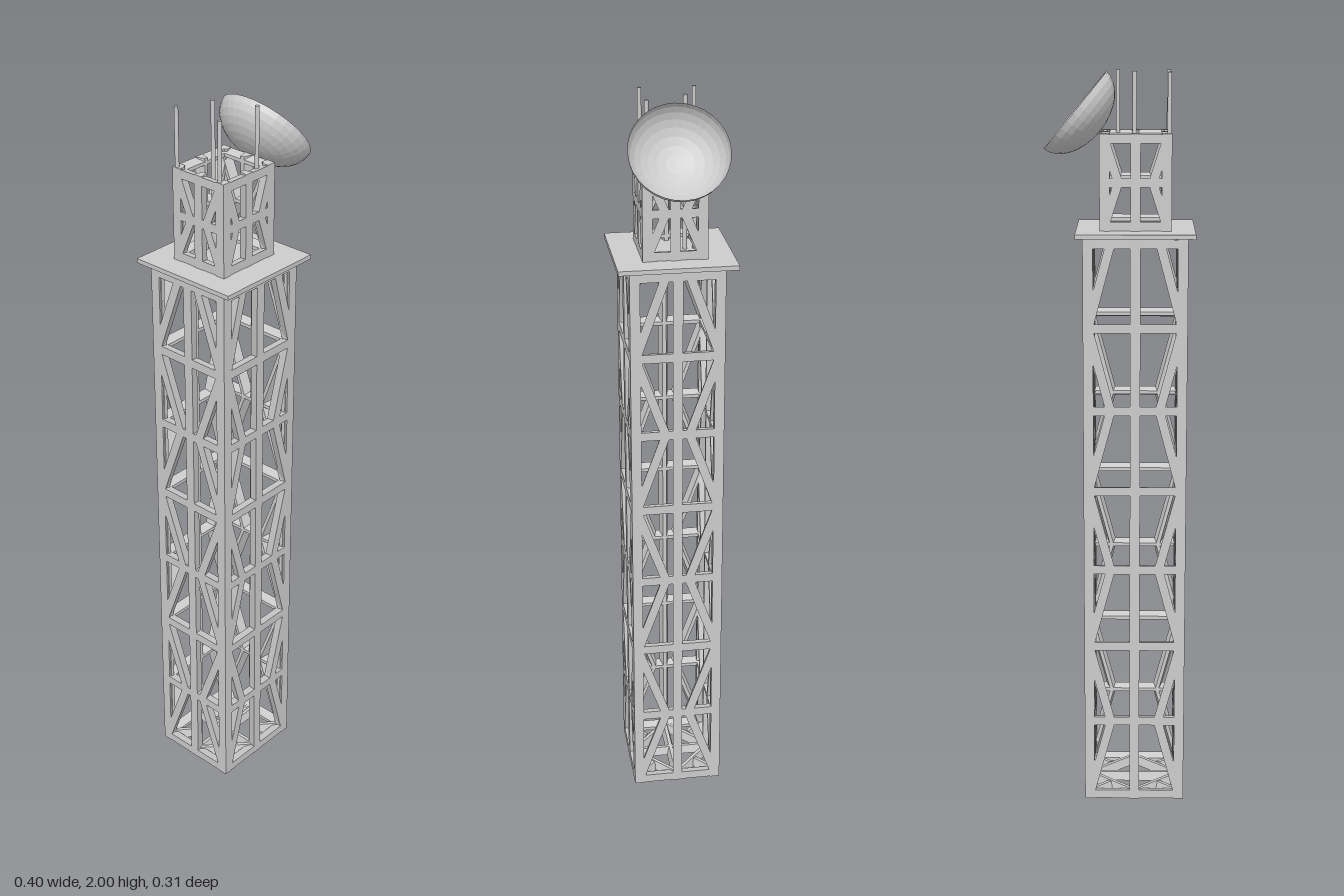
import * as THREE from 'three';

const metal = new THREE.MeshStandardMaterial({ color: 0xcccccc, flatShading: true });
const shell = new THREE.MeshStandardMaterial({ color: 0xcccccc, flatShading: true, side: THREE.DoubleSide });
const CX = -0.045; // tower axis

// Wedge beam in the XY plane: flat outside at z = 0, narrowing inwards
function beam(parent, name, x1, y1, x2, y2, w, depth) {
  const len = Math.hypot(x2 - x1, y2 - y1);
  const g = new THREE.BoxGeometry(w, len, depth).translate(0, 0, -depth / 2);
  const p = g.attributes.position;
  for (let i = 0; i < p.count; i++) if (p.getZ(i) < -depth / 2) p.setX(i, p.getX(i) * 0.4);
  g.computeVertexNormals();
  const m = new THREE.Mesh(g, metal);
  m.name = name;
  m.position.set((x1 + x2) / 2, (y1 + y2) / 2, 0);
  m.rotation.z = Math.atan2(y2 - y1, x2 - x1) - Math.PI / 2;
  parent.add(m);
}

// One lattice wall: posts, rails and zigzag braces
function wall(width, height, bays, t, inner) {
  const g = new THREE.Group();
  const h = width / 2, e = h - t / 2, step = (height - t) / bays;
  for (const s of [-1, 1]) beam(g, 'cornerPost', s * e, 0, s * e, height, t, t);
  beam(g, 'middlePost', 0, 0, 0, height, t, t);
  for (let i = 0; i <= bays; i++) {
    const y = t / 2 + i * step;
    beam(g, 'rail', -h, y, h, y, t * 0.9, t);
    if (i === bays) continue;
    for (const s of [-1, 1]) {
      const a = i % 2 ? inner : e, b = i % 2 ? e : inner;
      beam(g, 'brace', s * a, y, s * b, y + step, t * 0.9, t);
    }
  }
  return g;
}

// Flat lattice closing the end of a tower section
function cap(w, d, t) {
  const g = new THREE.Group();
  beam(g, 'capBeam', 0, -d / 2, 0, d / 2, t, t);
  beam(g, 'capBeam', -w / 2, 0, w / 2, 0, t, t);
  for (const sx of [-1, 1]) for (const sy of [-1, 1]) {
    beam(g, 'capBrace', sx * (w / 2 - t / 2), 0, 0, sy * (d / 2 - t / 2), t, t);
    beam(g, 'capBrace', sx * w / 4, sy * d / 4, sx * (w / 2 - t / 2), sy * (d / 2 - t / 2), t, t);
  }
  return g;
}

function section(name, w, d, height, bays, t, innerX, innerZ) {
  const g = new THREE.Group();
  g.name = name;
  for (let i = 0; i < 4; i++) {
    const side = i % 2;
    const f = wall(side ? d : w, height, bays, t, side ? innerZ : innerX);
    f.name = ['frontWall', 'leftWall', 'backWall', 'rightWall'][i];
    f.rotation.y = i * Math.PI / 2;
    const r = (side ? w : d) / 2;
    f.position.set([0, r, 0, -r][i], 0, [r, 0, -r, 0][i]);
    g.add(f);
  }
  return g;
}

export function createModel() {
  const model = new THREE.Group();

  // Main tower with lattice ends
  const lower = section('mainTower', 0.275, 0.25, 1.58, 7, 0.027, 0.065, 0.032);
  lower.position.x = CX;
  const base = cap(0.275, 0.25, 0.024);
  base.name = 'baseLattice';
  base.rotation.x = Math.PI / 2;
  const top = cap(0.275, 0.25, 0.024);
  top.name = 'topLattice';
  top.rotation.x = -Math.PI / 2;
  top.position.y = 1.58;
  lower.add(base, top);
  model.add(lower);

  // Platform
  const platform = new THREE.Mesh(new THREE.BoxGeometry(0.312, 0.012, 0.312), metal);
  platform.name = 'platform';
  platform.position.set(CX, 1.589, 0);
  model.add(platform);

  // Upper tower
  const upper = section('upperTower', 0.188, 0.17, 0.25, 2, 0.026, 0.045, 0.025);
  upper.position.set(CX, 1.595, 0);
  model.add(upper);

  // Antenna rods: x, z, bottom
  for (const [x, z, y0] of [[-0.132, 0.067, 1.82], [-0.132, -0.075, 1.82], [0.002, 0.067, 1.82], [-0.042, -0.038, 1.59]]) {
    const rod = new THREE.Mesh(new THREE.CylinderGeometry(0.0055, 0.0055, 2 - y0, 12), metal);
    rod.name = 'antennaRod';
    rod.position.set(x, (2 + y0) / 2, z);
    model.add(rod);
  }

  // Tilted dish: half-ellipsoid bowl opening up and towards +x
  const R = 0.129, D = 0.085, profile = [];
  for (let i = 0; i <= 8; i++) {
    const a = i / 8 * Math.PI / 2;
    profile.push(new THREE.Vector2(R * Math.sin(a), -D * Math.cos(a)));
  }
  const dish = new THREE.Mesh(new THREE.LatheGeometry(profile, 32), shell);
  dish.name = 'dish';
  dish.position.set(0.114, 1.899, 0);
  dish.rotation.z = -Math.atan2(0.77, 0.64);
  model.add(dish);

  return model;
}
